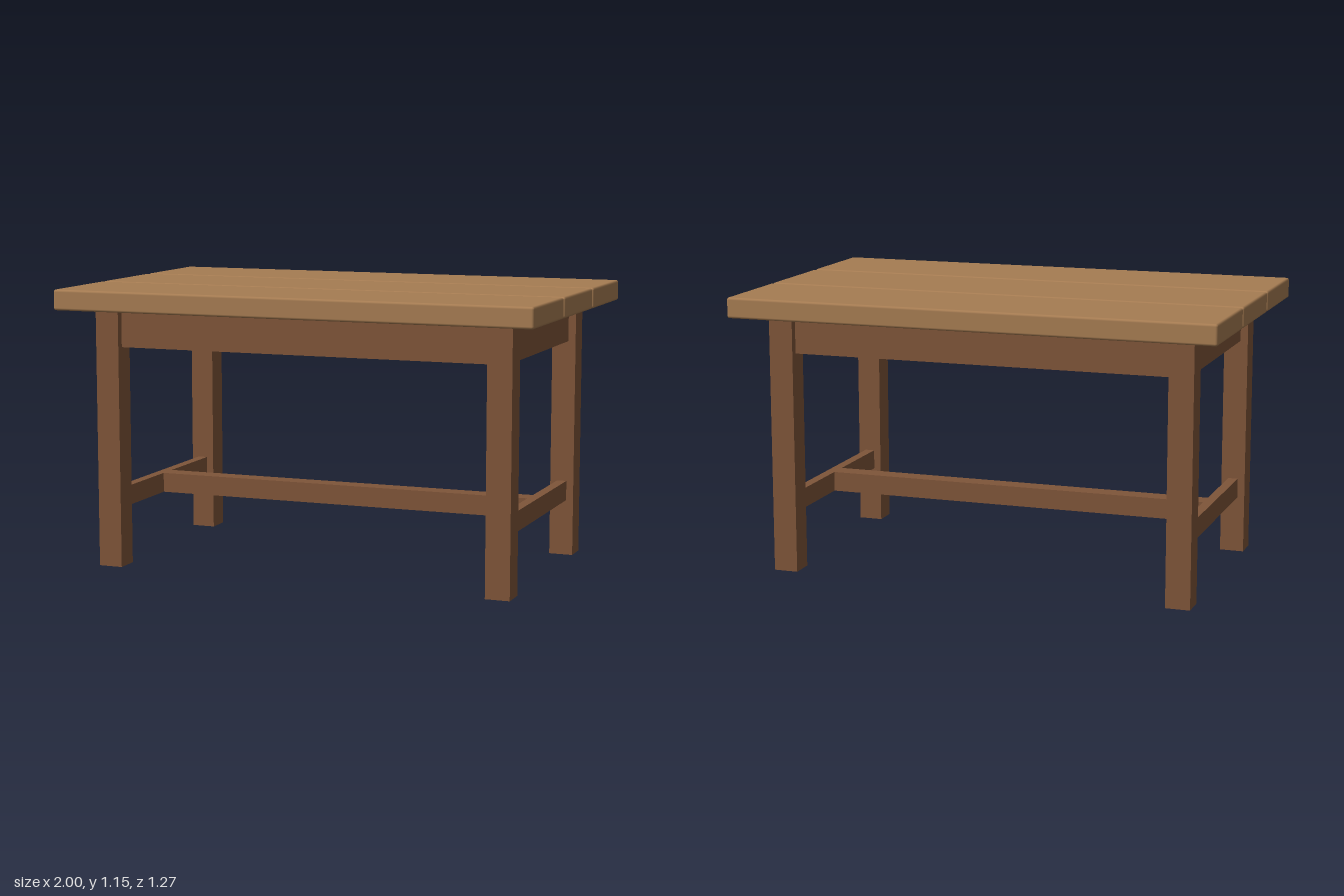
import * as THREE from 'three';
import { RoundedBoxGeometry } from 'three/addons/geometries/RoundedBoxGeometry.js';

export function createModel() {
  const group = new THREE.Group();
  group.name = 'table';

  const topWood = new THREE.MeshStandardMaterial({ color: 0xa67c52 });
  topWood.name = 'light wood';
  const frameWood = new THREE.MeshStandardMaterial({ color: 0x7f5539 });
  frameWood.name = 'dark wood';

  function add(name, geometry, material, x, y, z) {
    const mesh = new THREE.Mesh(geometry, material);
    mesh.name = name;
    mesh.position.set(x, y, z);
    group.add(mesh);
  }
  const beam = (name, w, h, d, x, y, z) =>
    add(name, new THREE.BoxGeometry(w, h, d), frameWood, x, y, z);

  // Three softened planks with narrow gaps
  const plankWidth = 0.412, gap = 0.016;
  for (let i = -1; i <= 1; i++) {
    add('plank', new RoundedBoxGeometry(2, 0.084, plankWidth, 2, 0.01), topWood,
      0, 1.104, i * (plankWidth + gap));
  }

  // Square legs at the four corners
  const legX = 0.83, legZ = 0.45, legSize = 0.1, legHeight = 1.064;
  for (const sx of [-1, 1]) {
    for (const sz of [-1, 1]) {
      beam('leg', legSize, legHeight, legSize, sx * legX, legHeight / 2, sz * legZ);
    }
  }

  // Aprons between the legs, let slightly into the planks
  const spanX = 2 * legX - legSize, spanZ = 2 * legZ - legSize;
  const apronHeight = 0.166, apronY = 0.988, apronThick = 0.038;
  for (const s of [-1, 1]) {
    beam('longApron', spanX, apronHeight, apronThick, 0, apronY, s * legZ);
    beam('sideApron', apronThick, apronHeight, spanZ, s * legX, apronY, 0);
  }

  // H-shaped stretcher
  const stretcherY = 0.274, stretcherHeight = 0.082, sideThick = 0.04;
  for (const s of [-1, 1]) {
    beam('sideStretcher', sideThick, stretcherHeight, spanZ, s * legX, stretcherY, 0);
  }
  beam('longStretcher', 2 * legX - sideThick, stretcherHeight, 0.08, 0, stretcherY, 0);

  return group;
}
